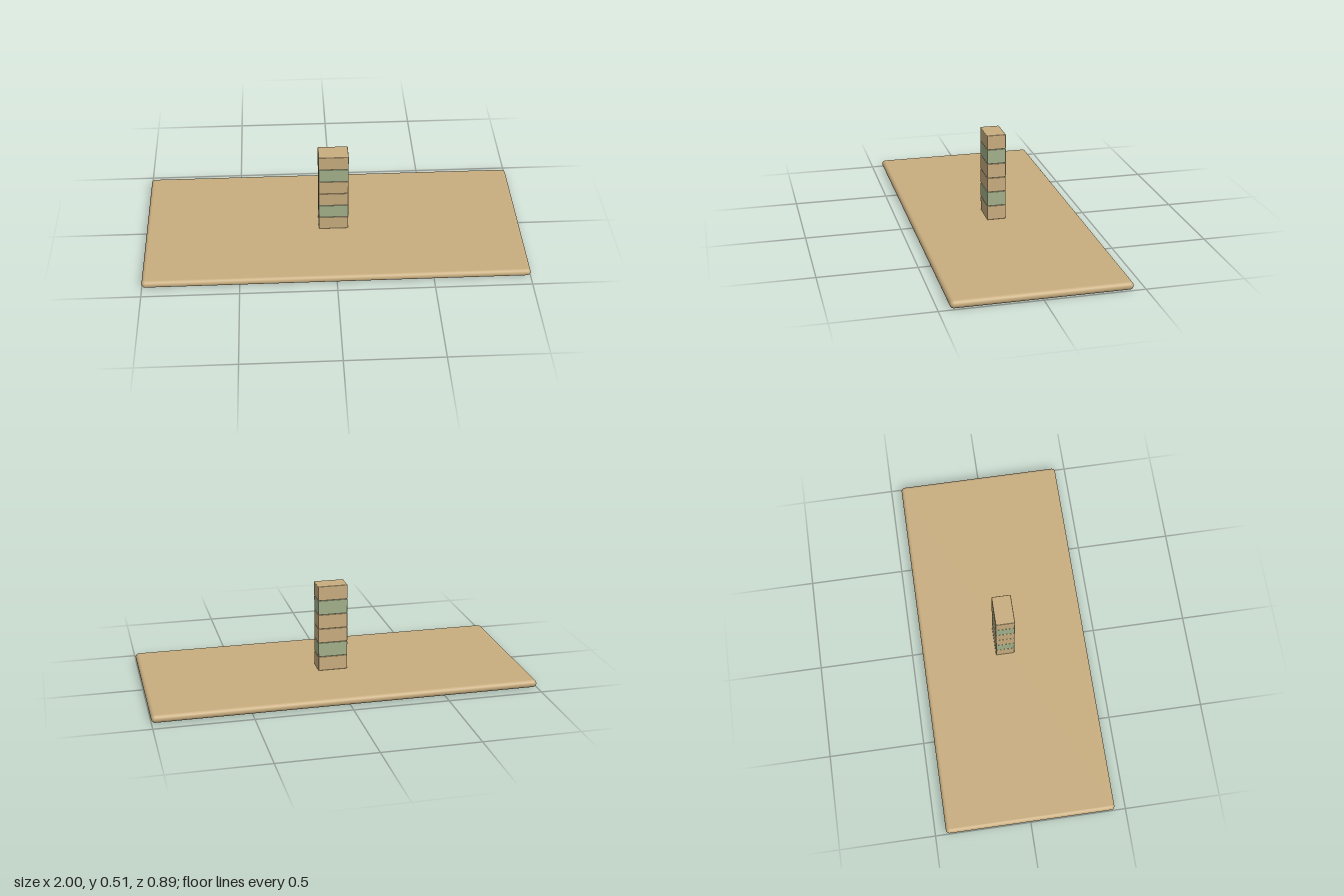
import * as THREE from 'three';
import { RoundedBoxGeometry } from 'three/addons/geometries/RoundedBoxGeometry.js';

export function createModel() {
  const group = new THREE.Group();
  group.name = 'blockTower';

  const tan = new THREE.MeshStandardMaterial({ color: 0xc8ad7f });
  tan.name = 'tanWood';
  const sage = new THREE.MeshStandardMaterial({ color: 0xa3b18a });
  sage.name = 'sageGreen';

  const boardHeight = 0.04;
  const blockHeight = 0.078;

  // Board with fully rounded edges
  const board = new THREE.Mesh(new RoundedBoxGeometry(2, boardHeight, 0.886, 6, 0.0198), tan);
  board.name = 'board';
  board.position.y = boardHeight / 2;
  group.add(board);

  // Stack of six softly rounded blocks
  const blockGeometry = new RoundedBoxGeometry(0.157, blockHeight, 0.1, 3, 0.004);
  [tan, sage, tan, tan, sage, tan].forEach((material, i) => {
    const block = new THREE.Mesh(blockGeometry, material);
    block.name = `block${i + 1}`;
    block.position.y = boardHeight + blockHeight * (i + 0.5);
    group.add(block);
  });

  return group;
}
